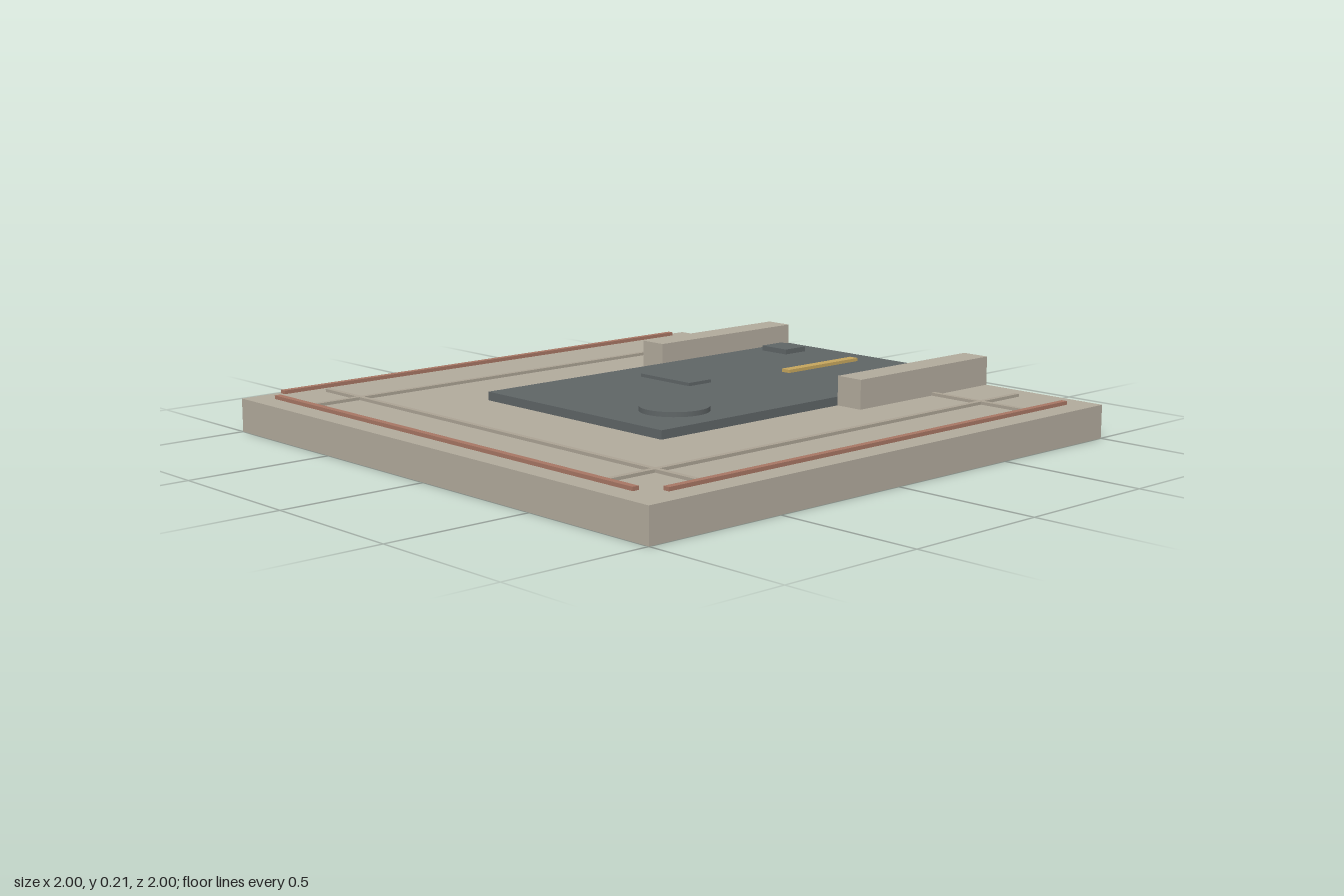
import * as THREE from 'three';

const mat = (name, color) => {
  const m = new THREE.MeshStandardMaterial({ color });
  m.name = name;
  return m;
};

export function createModel() {
  const model = new THREE.Group();
  model.name = 'roofTile';
  const stone = mat('stone', 0xb0a99b);
  const joint = mat('joint', 0xaaa293);
  const slate = mat('slate', 0x5e6465);
  const brick = mat('brick', 0xa67563);
  const gold = mat('gold', 0xc4a45c);

  const add = (name, geometry, material, x, y, z) => {
    const m = new THREE.Mesh(geometry, material);
    m.name = name;
    m.position.set(x, y, z);
    model.add(m);
  };
  // Box from its lower and upper limits on each axis
  const box = (name, material, [x0, x1], [y0, y1], [z0, z1]) =>
    add(name, new THREE.BoxGeometry(x1 - x0, y1 - y0, z1 - z0), material,
      (x0 + x1) / 2, (y0 + y1) / 2, (z0 + z1) / 2);

  const top = 0.112, deck = 0.141;

  // Ground tile and the dark paved way that enters from the back
  box('base', stone, [-1, 1], [0, top], [-1, 1]);
  box('pavedWay', slate, [-0.42, 0.42], [top, deck], [-1, 0.42]);

  for (const s of [-1, 1]) {
    const span = (a, b) => (s > 0 ? [a, b] : [-b, -a]);
    // Low walls beside the way
    box('sideWall', stone, span(0.42, 0.52), [top, 0.21], [-1, -0.36]);
    // Thin raised joints crossing near the corners
    box('longJoint', joint, span(0.712, 0.73), [top, 0.122], [-0.91, 0.91]);
    box('crossJoint', joint, [-0.91, 0.91], [top, 0.122], span(0.712, 0.73));
    // Side edge strips
    box('sideStrip', brick, span(0.927, 0.949), [0.121, 0.133], [-0.88, 0.88]);
    // Small blocks at the back of the way
    box('backBlock', slate, span(0.25, 0.37), [deck, 0.159], [-0.91, -0.81]);
  }
  box('frontStrip', brick, [-0.88, 0.88], [0.121, 0.133], [0.927, 0.949]);

  // Fittings on the way
  box('centreMark', gold, [-0.018, 0.018], [deck, 0.152], [-0.9, -0.55]);
  box('hatch', slate, [-0.28, -0.04], [deck, 0.152], [-0.23, -0.13]);
  add('roundCover', new THREE.CylinderGeometry(0.114, 0.114, 0.016, 32), slate, 0.22, deck + 0.008, 0.18);

  return model;
}
